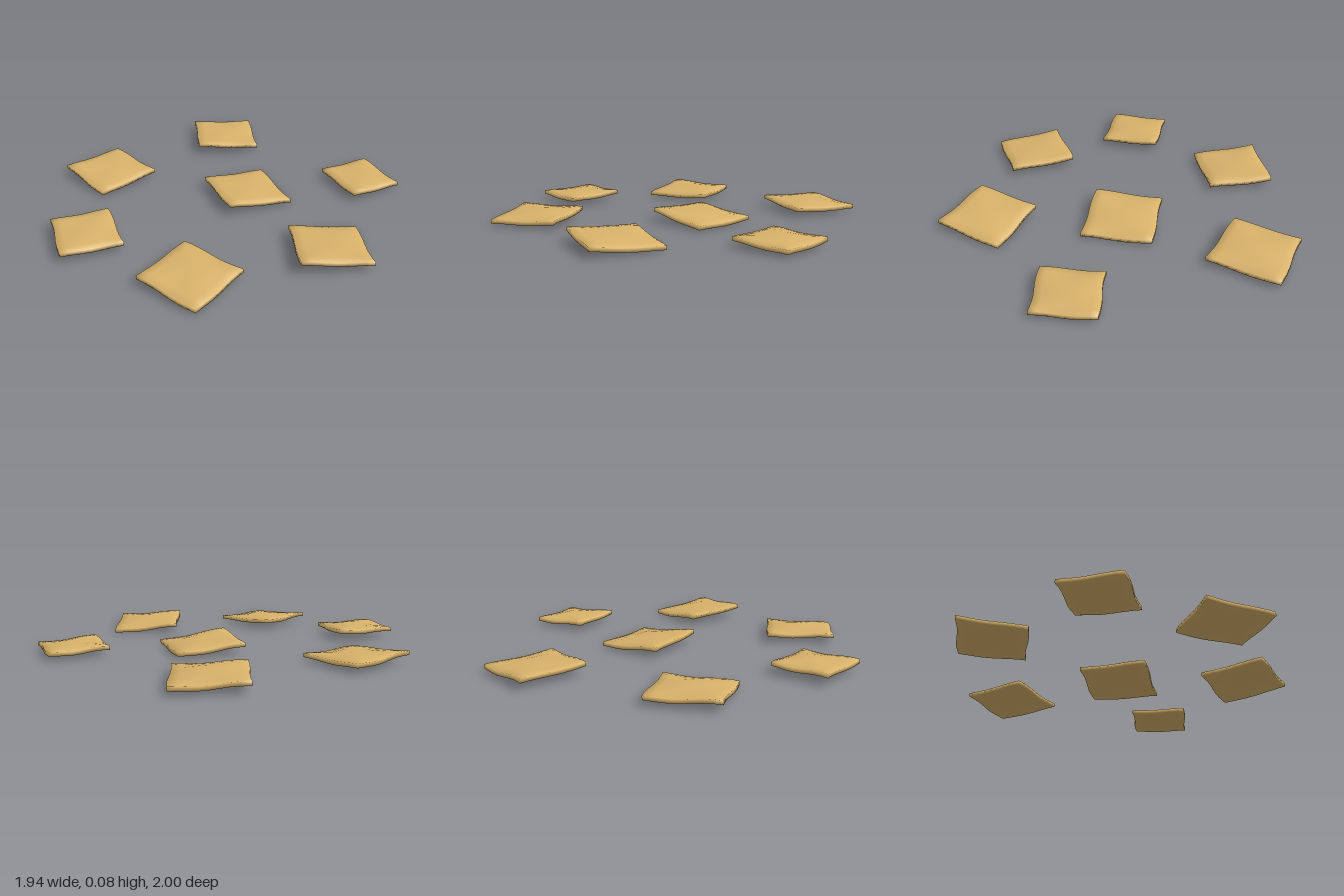
import * as THREE from 'three';
import { mergeVertices } from 'three/addons/utils/BufferGeometryUtils.js';

const THICKNESS = 0.022;
const SEGMENTS = 8;

// Four corners per chip, as [x, y, z]: back left, back right, front right, front left
const CHIPS = [
  [[-0.31, 0.055, -1.0], [0.07, 0.04, -0.95], [0.03, 0.03, -0.58], [-0.36, 0.02, -0.63]],
  [[0.69, 0.05, -0.83], [0.97, 0.03, -0.58], [0.69, 0.04, -0.29], [0.43, 0.06, -0.56]],
  [[-0.79, 0.055, -0.58], [-0.51, 0.055, -0.42], [-0.68, 0.04, -0.12], [-0.97, 0.047, -0.29]],
  [[0.12, 0.05, -0.25], [0.455, 0.02, -0.08], [0.28, 0.016, 0.27], [-0.05, 0.065, 0.09]],
  [[-0.86, 0.05, 0.15], [-0.48, 0.05, 0.13], [-0.465, 0.035, 0.51], [-0.845, 0.02, 0.525]],
  [[-0.005, 0.05, 0.455], [0.265, 0.013, 0.715], [-0.01, 0.045, 0.995], [-0.27, 0.067, 0.72]],
  [[0.67, 0.045, 0.23], [0.97, 0.035, 0.35], [0.84, 0.028, 0.66], [0.54, 0.045, 0.54]],
];

// Thin pillow stretched between four corners, with a drooping rim and wavy edges
function chipGeometry(corners) {
  const [a, b, c, d] = corners.map((p) => new THREE.Vector3(...p));
  let geometry = new THREE.BoxGeometry(1, 1, 1, SEGMENTS, 1, SEGMENTS);
  geometry.deleteAttribute('normal');
  geometry.deleteAttribute('uv');
  geometry = mergeVertices(geometry);
  const pos = geometry.attributes.position;
  const back = new THREE.Vector3();
  const front = new THREE.Vector3();
  for (let i = 0; i < pos.count; i++) {
    const u = pos.getX(i) + 0.5;
    const v = pos.getZ(i) + 0.5;
    const side = pos.getY(i);
    back.lerpVectors(a, b, u);
    front.lerpVectors(d, c, u);
    back.lerp(front, v);
    const edge = Math.min(u, 1 - u, v, 1 - v);
    const dome = 0.009 * THREE.MathUtils.smoothstep(edge, 0, 0.25);
    const wave = 0.004 * Math.sin(u * 7 + 0.6) * Math.cos(v * 6);
    // Corners stay put; the middle of each edge wanders slightly
    const dx = 0.006 * Math.sin(v * Math.PI * 2);
    const dz = 0.006 * Math.sin(u * Math.PI * 2);
    pos.setXYZ(i, back.x + dx, back.y + dome + wave + side * THICKNESS, back.z + dz);
  }
  geometry.computeVertexNormals();
  return geometry;
}

export function createModel() {
  const group = new THREE.Group();
  group.name = 'scatteredChips';
  const golden = new THREE.MeshStandardMaterial({ color: 0xd8b26a });
  golden.name = 'golden';
  CHIPS.forEach((corners, i) => {
    const chip = new THREE.Mesh(chipGeometry(corners), golden);
    chip.name = `chip${i + 1}`;
    group.add(chip);
  });
  // Rest the lowest point on the ground
  group.position.y = -new THREE.Box3().setFromObject(group, true).min.y;
  return group;
}
